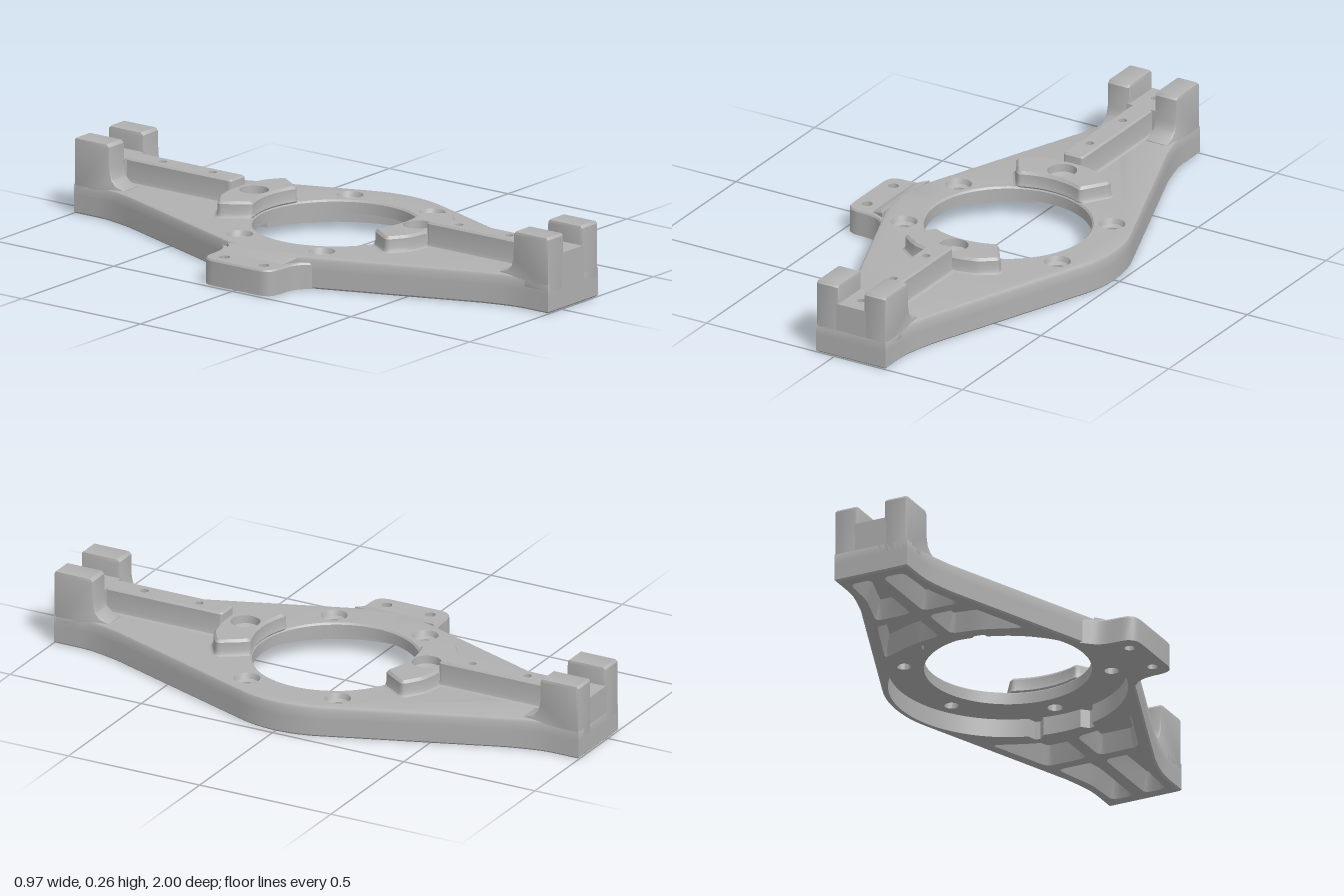
import * as THREE from 'three';
import { toCreasedNormals } from 'three/addons/utils/BufferGeometryUtils.js';

const V = (x, v) => new THREE.Vector2(x, v);
const poly = (list) => list.map(([x, v]) => V(x, v));
const ccw = (pts) => (THREE.ShapeUtils.isClockWise(pts) ? pts.slice().reverse() : pts);
const mirror = (pts, sx, sv) => ccw(pts.map((p) => V(p.x * sx, p.y * sv)));

// circle outline around (x, v)
function circle(r, x = 0, v = 0, n = 24) {
  return Array.from({ length: n }, (_, i) => {
    const a = (i / n) * Math.PI * 2;
    return V(x + r * Math.cos(a), v + r * Math.sin(a));
  });
}

// polygon with rounded corners
function rounded(list, r) {
  const pts = ccw(poly(list)), out = [];
  pts.forEach((p, i) => {
    const toward = (q) => p.clone().lerp(q, Math.min(0.45, r / p.distanceTo(q)));
    const a = toward(pts[(i + pts.length - 1) % pts.length]);
    const b = toward(pts[(i + 1) % pts.length]);
    out.push(...new THREE.QuadraticBezierCurve(a, p, b).getPoints(4));
  });
  return out;
}

// shrink an outline by d (negative d grows it)
function inset(pts, d) {
  const n = pts.length;
  const normal = (a, b) => V(a.y - b.y, b.x - a.x).normalize();
  return pts.map((p, i) => {
    const n1 = normal(pts[(i + n - 1) % n], p), n2 = normal(p, pts[(i + 1) % n]);
    const k = d / (1 + n1.dot(n2));
    return V(p.x + (n1.x + n2.x) * k, p.y + (n1.y + n2.y) * k);
  });
}

// stacked rings [outline, y] from bottom to top, with through holes made the same way
function solid(rings, holes = []) {
  const pos = [];
  const put = (p, y) => pos.push(p.x, y, -p.y);
  const wall = (list) => {
    for (let k = 0; k + 1 < list.length; k++) {
      const [a, ya] = list[k], [b, yb] = list[k + 1];
      a.forEach((p, i) => {
        const j = (i + 1) % a.length;
        put(p, ya); put(a[j], ya); put(b[j], yb);
        put(p, ya); put(b[j], yb); put(b[i], yb);
      });
    }
  };
  const inner = holes.map((h) => h.map(([pts, y]) => [pts.slice().reverse(), y]));
  wall(rings);
  inner.forEach(wall);
  const cap = (pick, up) => {
    const [outer, y] = pick(rings), cut = inner.map((h) => pick(h)[0]);
    const all = [outer, ...cut].flat();
    for (const [a, b, c] of THREE.ShapeUtils.triangulateShape(outer, cut)) {
      for (const i of up ? [a, b, c] : [a, c, b]) put(all[i], y);
    }
  };
  cap((r) => r[0], false);
  cap((r) => r[r.length - 1], true);
  const g = new THREE.BufferGeometry();
  g.setAttribute('position', new THREE.Float32BufferAttribute(pos, 3));
  return toCreasedNormals(g, 0.55);
}

// hole from [radius, y] steps
const bore = (x, v, steps, n) => steps.map(([r, y]) => [circle(r, x, v, n), y]);

// diamond-shaped plan of the plate
function plateOutline() {
  const q = poly([[0.136, 1], [0.136, 0.9], [0.139, 0.86], [0.15, 0.81], [0.168, 0.745]]);
  for (let i = 0; i <= 6; i++) {
    const a = 0.372 * (1 - i / 6);
    q.push(V(0.421 * Math.cos(a), 0.421 * Math.sin(a)));
  }
  const right = q.concat(q.slice(0, -1).reverse().map((p) => V(p.x, -p.y)));
  return ccw(right.concat(right.slice().reverse().map((p) => V(-p.x, p.y))));
}

// round underside recess with four small notches
function recessOutline() {
  const pts = [];
  const notches = [1, -1].flatMap((s) => [0.25, -0.25].map((d) => (s * Math.PI) / 2 + d));
  for (let i = 0; i < 144; i++) {
    const a = -Math.PI + (i / 144) * Math.PI * 2;
    const r = notches.some((n) => Math.abs(a - n) < 0.05) ? 0.428 : 0.4;
    pts.push(V(r * Math.cos(a), r * Math.sin(a)));
  }
  return pts;
}

export function createModel() {
  const grey = new THREE.MeshStandardMaterial({ color: 0xb0b0b0 });
  grey.name = 'cast grey';
  const model = new THREE.Group();
  const body = new THREE.Group();
  body.name = 'bracket';
  body.position.x = 0.064;
  model.add(body);
  const add = (parent, name, geometry) => {
    const m = new THREE.Mesh(geometry, grey);
    m.name = name;
    parent.add(m);
    return m;
  };

  const SPLIT = 0.065, TOP = 0.11;
  const outline = plateOutline();

  // ribbed underside: drafted pockets and the round recess
  const pocketPlans = [
    rounded([[0.022, 0.458], [0.12, 0.443], [0.2, 0.412], [0.262, 0.385], [0.172, 0.62], [0.022, 0.62]], 0.025),
    rounded([[0.022, 0.66], [0.155, 0.66], [0.108, 0.82], [0.1, 0.955], [0.022, 0.955]], 0.025),
  ];
  const lowerHoles = [[[recessOutline(), 0], [recessOutline(), SPLIT]]];
  for (const plan of pocketPlans) for (const sx of [1, -1]) for (const sv of [1, -1]) {
    const p = mirror(plan, sx, sv);
    lowerHoles.push([[p, 0], [inset(p, 0.02), SPLIT]]);
  }
  add(body, 'ribbedUnderside', solid([[inset(outline, 0.006), 0], [outline, 0.006], [outline, SPLIT]], lowerHoles));

  // top plate with central opening and countersunk bolt holes
  const upperHoles = [bore(0, 0, [[0.28, SPLIT], [0.28, 0.104], [0.286, TOP]], 72)];
  for (const s of [1, -1]) {
    upperHoles.push(bore(0, s * 0.345, [[0.026, SPLIT], [0.026, TOP]]));
    for (const sx of [1, -1]) {
      upperHoles.push(bore(sx * 0.3, s * 0.173, [[0.024, SPLIT], [0.024, 0.085], [0.038, 0.092], [0.045, TOP]]));
    }
  }
  add(body, 'topPlate', solid([[outline, SPLIT], [outline, 0.098], [inset(outline, 0.004), 0.106], [inset(outline, 0.012), TOP]], upperHoles));

  // side mounting tab
  const tab = rounded([[-0.549, 0.145], [-0.549, -0.145], [-0.42, -0.148], [-0.365, -0.205],
    [-0.36, -0.19], [-0.405, -0.08], [-0.405, 0.08], [-0.36, 0.19], [-0.365, 0.205], [-0.42, 0.148]], 0.05);
  const tabHoles = [1, -1].map((s) => bore(-0.499, s * 0.083, [[0.018, 0], [0.018, 0.09]], 16));
  add(body, 'sideTab', solid([[tab, 0], [tab, 0.084], [inset(tab, 0.004), 0.09]], tabHoles));
  const ramp = [[-0.455, 0.125], [-0.455, -0.125], [-0.4, -0.15], [-0.406, 0], [-0.4, 0.15]];
  const rampTop = ramp.map(([x, v]) => [Math.max(x, -0.42), v]);
  add(body, 'tabFillet', solid([[ccw(poly(ramp)), 0.088], [ccw(poly(rampTop)), 0.107]]));

  // raised parts of one arm, repeated at the other end
  const arm = new THREE.Group();
  arm.name = 'armBack';

  // bolt pad hugging the opening
  const padPlan = [];
  for (let i = -4; i <= 4; i++) {
    const a = Math.PI / 2 - i * 0.112;
    padPlan.push([0.284 * Math.cos(a), 0.284 * Math.sin(a)]);
  }
  padPlan.push([0.188, 0.355], [0.12, 0.402], [0.06, 0.415], [0, 0.419], [-0.06, 0.415], [-0.12, 0.402], [-0.188, 0.355]);
  const pad = rounded(padPlan, 0.018);
  // only the outward sides flare into the plate
  const foot = inset(pad, -0.014).map((p, i) => (p.length() < 0.286 ? pad[i] : p));
  add(arm, 'boltPad', solid([[foot, 0.108], [inset(pad, -0.004), 0.114], [pad, 0.125], [pad, 0.156], [inset(pad, 0.008), 0.165]],
    [bore(0, 0.345, [[0.026, 0.108], [0.026, 0.13], [0.048, 0.138], [0.05, 0.165]])]));

  // long ridge with small holes
  const ridge = rounded([[-0.04, 0.412], [0.04, 0.412], [0.04, 0.87], [-0.04, 0.87]], 0.012);
  add(arm, 'ridge', solid([[inset(ridge, -0.016), 0.108], [inset(ridge, -0.004), 0.115], [ridge, 0.127], [ridge, 0.189], [inset(ridge, 0.006), 0.195]],
    [0.52, 0.73].map((v) => bore(0, v, [[0.014, 0.108], [0.014, 0.195]], 14))));

  // slot floor between the end posts
  const floor = poly([[-0.06, 0.85], [0.06, 0.85], [0.06, 1], [-0.06, 1]]);
  add(arm, 'slotFloor', solid([[floor, 0.07], [floor, 0.195]], [bore(0, 0.935, [[0.014, 0.07], [0.014, 0.195]], 14)]));

  // end posts with a curved foot
  const profile = new THREE.Shape(poly([[1, 0.07], [1, 0.254], [0.992, 0.262], [0.862, 0.262], [0.852, 0.252],
    [0.85, 0.17], [0.842, 0.14], [0.825, 0.123], [0.79, 0.112], [0.79, 0.07]]));
  const post = new THREE.ExtrudeGeometry(profile, {
    depth: 0.07, bevelEnabled: true, bevelThickness: 0.008, bevelSize: 0.008, bevelOffset: -0.008, bevelSegments: 2,
  });
  post.rotateY(Math.PI / 2);
  const postGeometry = toCreasedNormals(post, 0.55);
  add(arm, 'endPostLeft', postGeometry).position.x = 0.058;
  add(arm, 'endPostRight', postGeometry).position.x = -0.128;

  body.add(arm);
  const front = arm.clone();
  front.name = 'armFront';
  front.rotation.y = Math.PI;
  body.add(front);
  return model;
}
